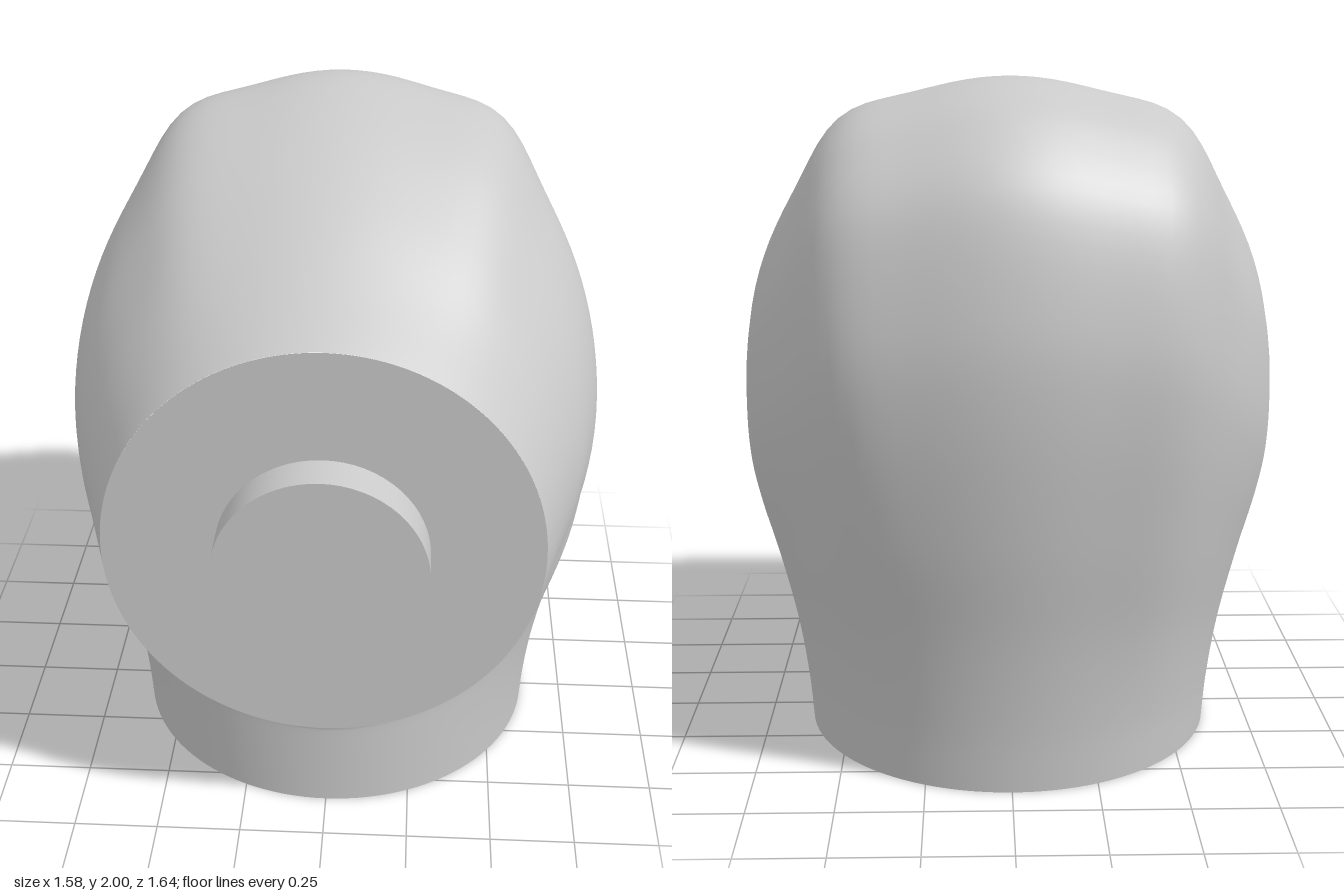
import * as THREE from 'three';
import { toCreasedNormals } from 'three/addons/utils/BufferGeometryUtils.js';

const SIDES = 120;
const STEPS = 78;

// Rounded inside corner of the elbow, below the front flange
const fillet = (degrees) => {
  const a = THREE.MathUtils.degToRad(degrees);
  return [0.7 - 0.1 * Math.cos(a), 0.26 + 0.1 * Math.sin(a)];
};

// Cross-sections fanning around the elbow, from the base ring to the front ring:
// inner z, inner y, outer z, outer y, half width, strength of the shoulder ridge
const SECTIONS = [
  [0.6, 0, -0.64, 0, 0.62, 0],
  [0.6, 0.1, -0.66, 0.2, 0.632, 0],
  [0.6, 0.19, -0.7, 0.46, 0.657, 0.01],
  [...fillet(0), -0.765, 0.78, 0.7, 0.03],
  [...fillet(9), -0.815, 1.13, 0.75, 0.05],
  [...fillet(18), -0.815, 1.4, 0.78, 0.06],
  [...fillet(27), -0.75, 1.7, 0.79, 0.06],
  [...fillet(36), -0.61, 1.88, 0.79, 0.06],
  [...fillet(45), -0.46, 1.97, 0.785, 0.06],
  [...fillet(54), -0.28, 2.0, 0.768, 0.06],
  [...fillet(63), -0.02, 1.945, 0.735, 0.045],
  [...fillet(72), 0.25, 1.82, 0.69, 0.03],
  [...fillet(81), 0.5, 1.68, 0.647, 0.01],
  [...fillet(90), 0.7, 1.585, 0.612, 0],
];

// Point on one cross-section: an ellipse with a soft ridge on each shoulder,
// slightly pinched towards the inside corner
function sectionPoint([iz, iy, oz, oy, w, ridge], angle) {
  const turn = Math.min(angle, Math.PI * 2 - angle);
  const r = 1 + ridge * Math.exp(-(((turn - 0.62) / 0.2) ** 2));
  const u = r * Math.cos(angle);
  const pinch = u < 0 ? 1 - 2 * ridge * u * u : 1;
  const t = (1 + u) / 2;
  return new THREE.Vector3(w * r * pinch * Math.sin(angle), iy + (oy - iy) * t, iz + (oz - iz) * t);
}

// Smooth skin lofted through the cross-sections
function housingGeometry() {
  const positions = [], index = [];
  const row = STEPS + 1;
  for (let i = 0; i < SIDES; i++) {
    const angle = (i / SIDES) * Math.PI * 2;
    const curve = new THREE.CatmullRomCurve3(
      SECTIONS.map((s) => sectionPoint(s, angle)), false, 'catmullrom', 0.5);
    for (const p of curve.getPoints(STEPS)) positions.push(p.x, p.y, p.z);
    const next = (i + 1) % SIDES;
    for (let j = 0; j < STEPS; j++) {
      const a = i * row + j, c = next * row + j;
      index.push(a, a + 1, c, c, a + 1, c + 1);
    }
  }
  const geometry = new THREE.BufferGeometry();
  geometry.setAttribute('position', new THREE.Float32BufferAttribute(positions, 3));
  geometry.setIndex(index);
  geometry.computeVertexNormals();
  return geometry;
}

export function createModel() {
  const group = new THREE.Group();
  const grey = new THREE.MeshStandardMaterial({ color: 0xcacaca });
  grey.name = 'light grey';

  const add = (name, geometry, x, y, z) => {
    const mesh = new THREE.Mesh(geometry, grey);
    mesh.name = name;
    mesh.position.set(x, y, z);
    group.add(mesh);
    return mesh;
  };

  add('elbowHousing', housingGeometry(), 0, 0, 0);

  // Flat front flange with its round peg
  add('frontFlange', new THREE.CircleGeometry(0.612, SIDES), 0, 0.9725, 0.7);
  const peg = add('frontPeg', new THREE.CylinderGeometry(0.297, 0.297, 0.12, 64), 0, 0.97, 0.76);
  peg.rotation.x = Math.PI / 2;

  // Underside ring with the recessed socket
  const profile = [[0, 0.12], [0.297, 0.12], [0.297, 0], [0.62, 0]];
  const socket = new THREE.LatheGeometry(
    profile.map(([r, y]) => new THREE.Vector2(r, y)), SIDES);
  add('baseSocket', toCreasedNormals(socket, 0.6), 0, 0, -0.02);

  return group;
}
